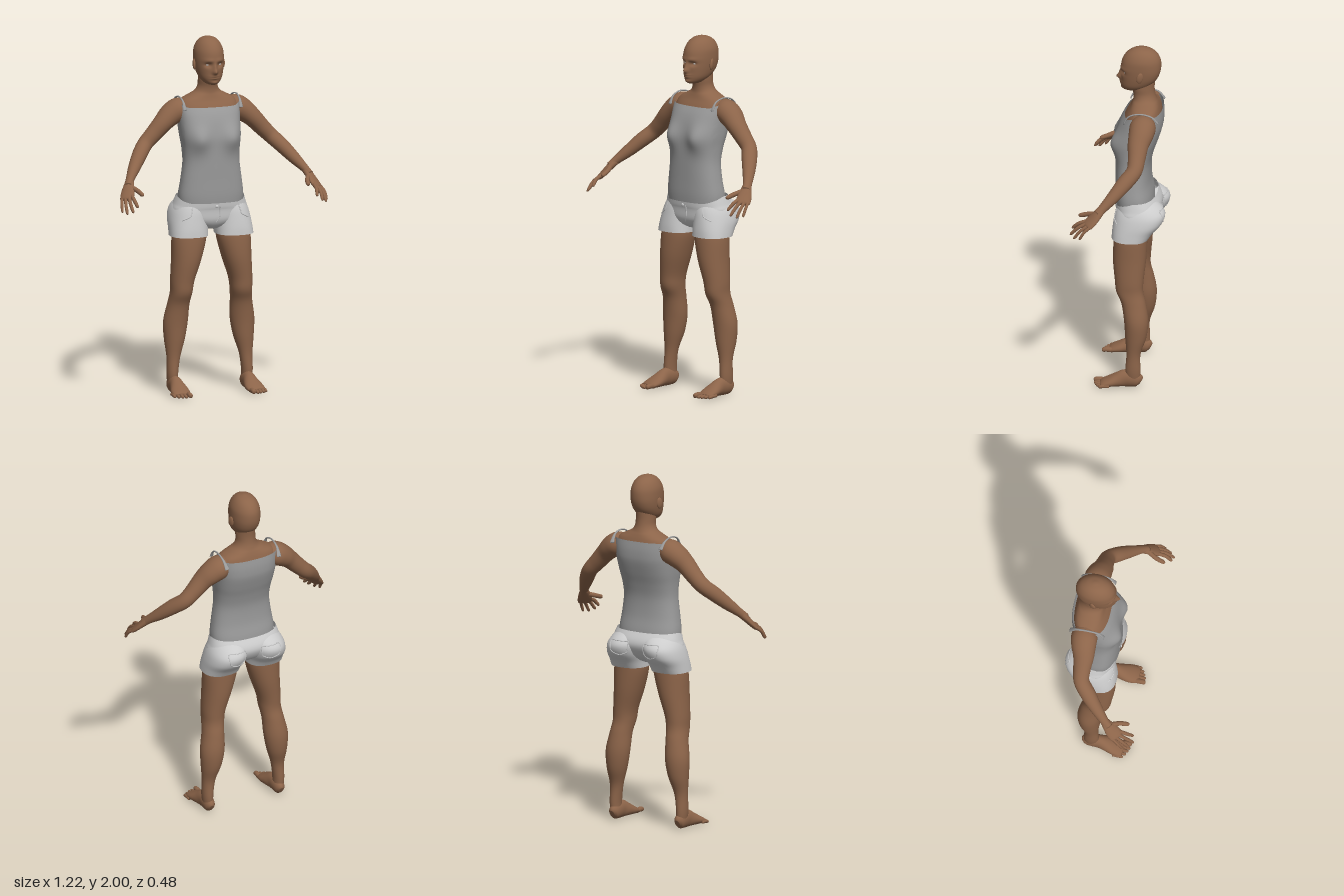
import * as THREE from 'three';

const skinMat = new THREE.MeshStandardMaterial({ color: 0x8c6449 });
const topMat = new THREE.MeshStandardMaterial({ color: 0x999999, side: THREE.DoubleSide });
const greyMat = new THREE.MeshStandardMaterial({ color: 0xcccccc, side: THREE.DoubleSide });

const bell = (v, centre, width) => Math.exp(-(((v - centre) / width) ** 2));

// Catmull-Rom interpolation of every column in a table of cross-sections
function smoothRows(rows, steps) {
  const out = [];
  const at = i => rows[Math.max(0, Math.min(rows.length - 1, i))];
  for (let i = 0; i < rows.length - 1; i++) {
    for (let s = 0; s < steps; s++) {
      const t = s / steps;
      out.push(rows[i].map((b, k) => {
        const a = at(i - 1)[k], c = at(i + 1)[k], d = at(i + 2)[k];
        return b + 0.5 * t * (c - a + t * (2 * a - 5 * b + 4 * c - d + t * (3 * (b - c) + d - a)));
      }));
    }
  }
  out.push(rows[rows.length - 1]);
  return out;
}

// Skin a list of rings, with optional end caps
function skinRings(rings, capped = true) {
  const n = rings[0].length, pts = rings.flat(), index = [];
  for (let i = 0; i < rings.length - 1; i++) {
    for (let j = 0; j < n; j++) {
      const a = i * n + j, c = i * n + (j + 1) % n;
      index.push(a, a + n, c, c, a + n, c + n);
    }
  }
  if (capped) {
    [0, rings.length - 1].forEach((r, end) => {
      const mid = new THREE.Vector3();
      rings[r].forEach(p => mid.addScaledVector(p, 1 / n));
      const m = pts.push(mid) - 1;
      for (let j = 0; j < n; j++) {
        const a = r * n + j, b = r * n + (j + 1) % n;
        index.push(m, end ? b : a, end ? a : b);
      }
    });
  }
  const g = new THREE.BufferGeometry().setFromPoints(pts);
  g.setIndex(index);
  g.computeVertexNormals();
  return g;
}

// Upright body from rows [y, centreX, zFront, zBack, halfWidth, squareness], bottom to top
function body(rows, { n = 48, steps = 5, warp = null, capped = true } = {}) {
  const rings = smoothRows(rows, steps).map(([y, cx, zf, zb, hw, p]) =>
    Array.from({ length: n }, (_, j) => {
      const t = j / n * Math.PI * 2, c = Math.cos(t), s = Math.sin(t);
      const v = new THREE.Vector3(
        cx + hw * Math.sign(c) * Math.abs(c) ** (2 / p), y,
        (zf + zb) / 2 + (zf - zb) / 2 * Math.sign(s) * Math.abs(s) ** (2 / p));
      if (warp) warp(v);
      return v;
    }));
  return skinRings(rings, capped);
}

// Limb along a path of rows [x, y, z, radiusAlongHint, radiusAcross]
function limb(rows, hint, n = 24, steps = 5) {
  const path = smoothRows(rows, steps), pos = path.map(r => new THREE.Vector3(r[0], r[1], r[2]));
  const rings = path.map((r, i) => {
    const d = pos[Math.min(i + 1, pos.length - 1)].clone().sub(pos[Math.max(i - 1, 0)]).normalize();
    const u = new THREE.Vector3(...hint);
    u.addScaledVector(d, -u.dot(d)).normalize();
    const v = u.clone().cross(d);
    return Array.from({ length: n }, (_, j) => {
      const t = j / n * Math.PI * 2;
      return pos[i].clone().addScaledVector(u, r[3] * Math.cos(t)).addScaledVector(v, r[4] * Math.sin(t));
    });
  });
  return skinRings(rings);
}

// Finger or toe from a base through a joint to a tip
function digit(base, joint, tip, r) {
  const mix = (a, b, t) => a.map((v, k) => v + (b[k] - v) * t);
  return limb([[...base, r, r], [...joint, r, r], [...mix(joint, tip, 0.8), r * 0.85, r * 0.85],
    [...tip, r * 0.35, r * 0.35]], [1, 0.1, 0], 10, 4);
}

function mirrored(geo) {
  const g = geo.clone().scale(-1, 1, 1), ix = g.index.array;
  for (let i = 0; i < ix.length; i += 3) [ix[i], ix[i + 1]] = [ix[i + 1], ix[i]];
  g.computeVertexNormals();
  return g;
}

export function createModel() {
  const model = new THREE.Group();
  model.name = 'standingFigure';
  const add = (name, geo, mat = skinMat) => {
    const mesh = new THREE.Mesh(geo, mat);
    mesh.name = name;
    model.add(mesh);
    return mesh;
  };
  const pair = (name, geo, mat) => [add('left' + name, geo, mat), add('right' + name, mirrored(geo), mat)];
  const ball = (x, y, z, rx, ry, rz) => new THREE.SphereGeometry(1, 20, 14).scale(rx, ry, rz).translate(x, y, z);

  // Head with a modelled face
  const face = v => {
    if (v.z < -0.05) return;
    const ax = Math.abs(v.x), y = v.y;
    v.z += 0.026 * bell(v.x, 0, 0.014) * bell(y, 1.813, 0.016)
      + 0.013 * bell(v.x, 0, 0.011) * bell(y, 1.84, 0.022)
      + 0.005 * bell(ax, 0.03, 0.03) * bell(y, 1.876, 0.012)
      - 0.014 * bell(ax, 0.034, 0.018) * bell(y, 1.853, 0.013)
      + 0.011 * bell(v.x, 0, 0.022) * bell(y, 1.783, 0.012)
      - 0.006 * bell(v.x, 0, 0.024) * bell(y, 1.783, 0.003)
      + 0.006 * bell(v.x, 0, 0.02) * bell(y, 1.753, 0.01);
  };
  add('head', body([
    [1.738, 0, 0.000, -0.09, 0.022, 2], [1.75, 0, 0.016, -0.11, 0.043, 2], [1.775, 0, 0.02, -0.145, 0.062, 2.1],
    [1.81, 0, 0.02, -0.178, 0.073, 2.2], [1.85, 0, 0.021, -0.196, 0.079, 2.2], [1.89, 0, 0.022, -0.202, 0.081, 2.1],
    [1.93, 0, 0.013, -0.198, 0.078, 2], [1.965, 0, -0.01, -0.178, 0.063, 2], [1.988, 0, -0.042, -0.146, 0.041, 2],
    [1.998, 0, -0.075, -0.11, 0.014, 2], [2.0, 0, -0.09, -0.094, 0.002, 2],
  ], { n: 96, steps: 8, warp: face }));
  pair('Ear', ball(0, 0, 0, 0.009, 0.032, 0.019).rotateY(0.35).rotateX(-0.15).translate(0.083, 1.845, -0.092));
  pair('Eye', ball(0.033, 1.853, -0.011, 0.014, 0.009, 0.013), greyMat);

  // Neck, shoulders and upper chest
  add('neckAndChest', body([
    [1.48, 0, 0.02, -0.185, 0.16, 2.5], [1.56, 0, 0.01, -0.2, 0.17, 2.5], [1.61, 0, -0.012, -0.203, 0.172, 2.5],
    [1.645, 0, -0.032, -0.195, 0.155, 2.4], [1.67, 0, -0.042, -0.186, 0.108, 2.2], [1.69, 0, -0.047, -0.177, 0.073, 2],
    [1.72, 0, -0.046, -0.168, 0.056, 2], [1.76, 0, -0.036, -0.165, 0.054, 2], [1.81, 0, -0.03, -0.17, 0.052, 2],
  ]));

  // Sleeveless top
  const bust = v => {
    if (v.z > -0.04) v.z += 0.034 * bell(Math.abs(v.x), 0.1, 0.06) * bell(v.y, 1.44, 0.07);
    const up = Math.max(0, (v.y - 1.54) / 0.07);
    if (v.z < -0.1) v.y += 0.028 * up * Math.min(1, (-0.1 - v.z) / 0.05);
    if (v.z > -0.06) v.y += 0.018 * up * bell(Math.abs(v.x), 0.175, 0.025);
  };
  add('tankTop', body([
    [1.06, 0, 0.046, -0.165, 0.184, 2.4], [1.12, 0, 0.05, -0.16, 0.186, 2.4], [1.2, 0, 0.05, -0.147, 0.175, 2.4],
    [1.3, 0, 0.05, -0.147, 0.162, 2.4], [1.38, 0, 0.049, -0.165, 0.163, 2.5], [1.45, 0, 0.047, -0.189, 0.17, 2.6],
    [1.52, 0, 0.035, -0.21, 0.175, 2.6], [1.57, 0, 0.018, -0.216, 0.178, 2.6], [1.61, 0, -0.004, -0.212, 0.178, 2.6],
  ], { n: 64, warp: bust, capped: false }), topMat);
  pair('Strap', limb([[0.165, 1.6, -0.012, 0.012, 0.004], [0.166, 1.645, -0.04, 0.006, 0.004],
    [0.168, 1.664, -0.1, 0.005, 0.004], [0.166, 1.65, -0.165, 0.007, 0.004], [0.16, 1.61, -0.203, 0.014, 0.004]],
    [1, 0, 0], 10), topMat);

  // Arms
  pair('Arm', limb([
    [0.11, 1.6, -0.12, 0.045, 0.045], [0.165, 1.59, -0.12, 0.072, 0.066], [0.215, 1.563, -0.115, 0.07, 0.063],
    [0.265, 1.52, -0.105, 0.059, 0.053], [0.32, 1.462, -0.103, 0.049, 0.047], [0.372, 1.41, -0.095, 0.044, 0.043],
    [0.42, 1.36, -0.05, 0.044, 0.041], [0.47, 1.3, 0.005, 0.036, 0.034], [0.515, 1.245, 0.06, 0.026, 0.023],
    [0.535, 1.215, 0.09, 0.026, 0.021],
  ], [0, 0, 1]));

  // Hands
  const across = [0.8, -0.25, -0.5];
  pair('Palm', limb([[0.518, 1.24, 0.065, 0.023, 0.022], [0.533, 1.212, 0.09, 0.032, 0.02],
    [0.548, 1.182, 0.117, 0.04, 0.017], [0.562, 1.155, 0.143, 0.04, 0.014], [0.567, 1.147, 0.15, 0.03, 0.007]], across));
  const tips = [[0.528, 1.118, 0.232], [0.558, 1.092, 0.24], [0.585, 1.08, 0.218], [0.602, 1.085, 0.184]];
  tips.forEach((tip, i) => {
    const s = (i - 1.5) * 0.019;
    const base = [0.558 + across[0] * s, 1.163 + across[1] * s, 0.136 + across[2] * s];
    const joint = base.map((b, k) => (b + tip[k]) / 2 + [0.005, 0.009, 0.003][k]);
    pair('Finger' + (i + 1), digit(base, joint, tip, 0.0105 - 0.0006 * i));
  });
  pair('Thumb', digit([0.523, 1.212, 0.098], [0.499, 1.195, 0.148], [0.487, 1.178, 0.2], 0.0135));

  // Legs
  pair('Leg', body([
    [0.03, 0.215, -0.035, -0.11, 0.028, 2], [0.1, 0.22, -0.028, -0.113, 0.031, 2], [0.2, 0.213, -0.033, -0.112, 0.038, 2],
    [0.3, 0.203, -0.025, -0.143, 0.058, 2], [0.4, 0.196, -0.018, -0.153, 0.069, 2], [0.5, 0.185, -0.002, -0.138, 0.061, 2.1],
    [0.57, 0.176, 0.028, -0.122, 0.06, 2.2], [0.64, 0.17, 0.037, -0.124, 0.066, 2.1], [0.76, 0.147, 0.05, -0.136, 0.083, 2.1],
    [0.88, 0.13, 0.046, -0.14, 0.097, 2.1], [0.96, 0.125, 0.03, -0.14, 0.09, 2],
  ], { n: 32 }));

  // Feet
  pair('Foot', limb([
    [0.216, 0.034, -0.114, 0.014, 0.022], [0.216, 0.041, -0.1, 0.028, 0.039], [0.216, 0.049, -0.065, 0.034, 0.048],
    [0.216, 0.05, -0.025, 0.036, 0.05], [0.216, 0.04, 0.015, 0.045, 0.04], [0.218, 0.029, 0.055, 0.053, 0.029],
    [0.221, 0.02, 0.09, 0.051, 0.02], [0.223, 0.014, 0.11, 0.044, 0.012],
  ], [1, 0, 0]));
  [0.152, 0.149, 0.142, 0.132, 0.118].forEach((z, i) => {
    const x = 0.187 + i * 0.019 + (i ? 0.005 : 0), r = i ? 0.0095 : 0.0145;
    pair('Toe' + (i + 1), digit([x, 0.017, z - 0.06], [x, r + 0.005, z - 0.025], [x, r, z], r));
  });

  // Shorts: hips plus two open leg tubes
  const waist = v => { if (v.y > 1.04) v.y -= 0.5 * (v.y - 1.04) * Math.max(0, Math.min(1, (v.z + 0.07) / 0.1)); };
  const shorts = [add('shortsHips', body([
    [0.925, 0, -0.01, -0.09, 0.05, 2], [0.945, 0, 0.02, -0.13, 0.12, 2.2], [0.98, 0, 0.04, -0.175, 0.19, 2.4],
    [1.03, 0, 0.046, -0.205, 0.216, 2.4], [1.07, 0, 0.051, -0.205, 0.206, 2.4], [1.115, 0, 0.054, -0.182, 0.193, 2.4],
  ], { n: 64, warp: waist, capped: false }), greyMat)];
  shorts.push(...pair('ShortsLeg', body([
    [0.89, 0.133, 0.058, -0.15, 0.107, 2.4], [0.93, 0.13, 0.056, -0.178, 0.108, 2.3], [0.98, 0.124, 0.05, -0.222, 0.11, 2.2],
    [1.03, 0.115, 0.042, -0.238, 0.108, 2.1], [1.07, 0.105, 0.03, -0.215, 0.098, 2], [1.1, 0.095, 0.01, -0.175, 0.08, 2],
  ], { n: 40, capped: false }), greyMat));

  // Raised seams laid onto the shorts from the front (side 1) or back (side -1)
  shorts.forEach(m => m.updateMatrixWorld());
  const seam = (side, outline) => {
    const curve = new THREE.CatmullRomCurve3(outline.map(([x, y]) => new THREE.Vector3(x, y, 0)), false, 'catmullrom', 0.2);
    const pts = curve.getPoints(16).map(p => {
      const ray = new THREE.Raycaster(new THREE.Vector3(p.x, p.y, side), new THREE.Vector3(0, 0, -side));
      const hit = ray.intersectObjects(shorts)[0];
      return hit && hit.point;
    }).filter(Boolean);
    return new THREE.TubeGeometry(new THREE.CatmullRomCurve3(pts), 32, 0.0035, 6);
  };
  pair('FrontPocketSeam', seam(1, [[0.135, 1.06], [0.15, 1.01], [0.195, 0.985]]), greyMat);
  pair('BackPocketSeam', seam(-1, [[0.05, 1.06], [0.055, 1.0], [0.1, 0.98], [0.15, 1.0], [0.155, 1.06], [0.05, 1.06]]), greyMat);
  add('flySeam', seam(1, [[0.02, 1.06], [0.02, 1.0], [0.002, 0.965]]), greyMat);
  add('waistButton', ball(0, 1.06, 0.054, 0.009, 0.009, 0.005), greyMat);

  return model;
}
